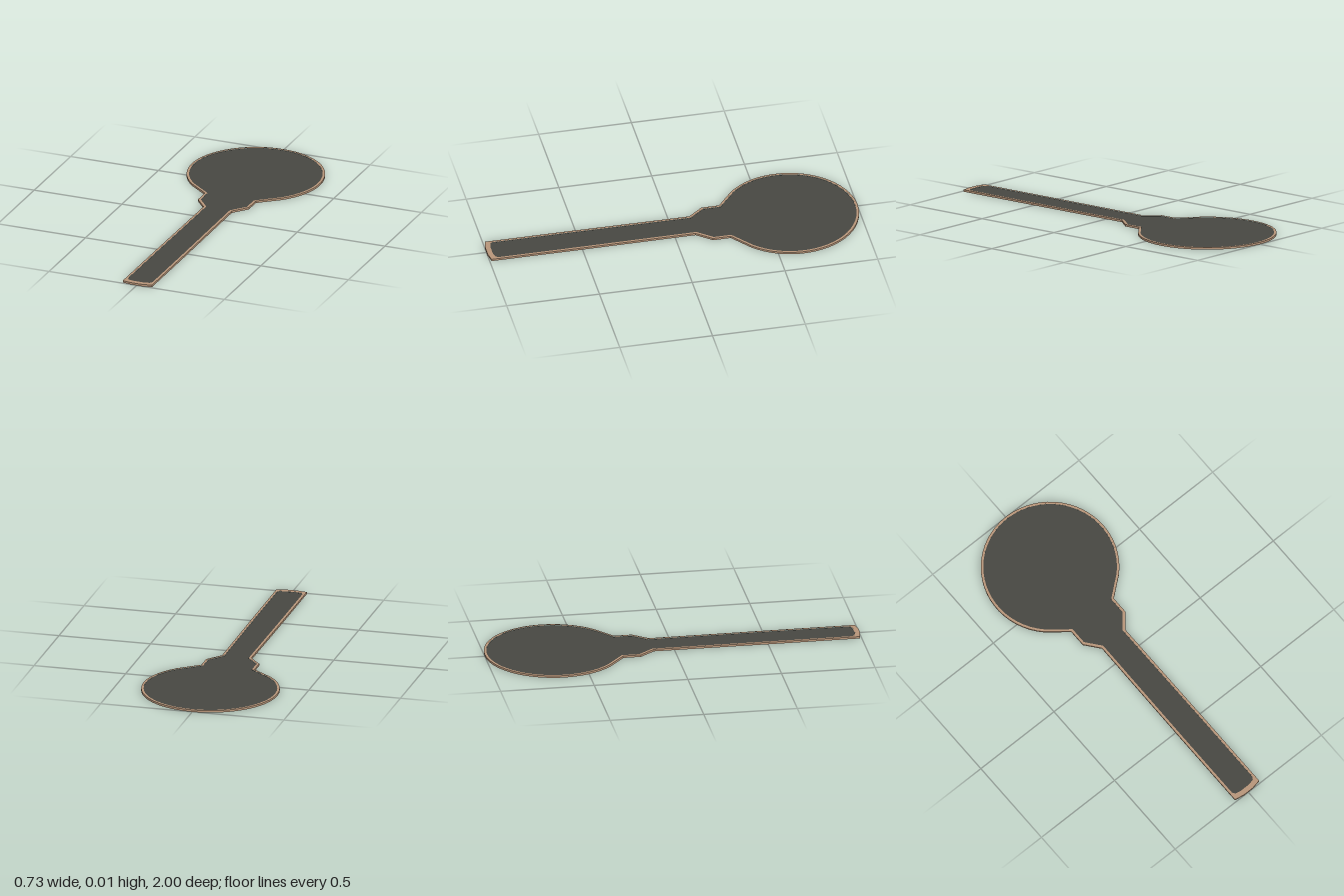
import * as THREE from 'three';

const THICK = 0.011;
const HEAD_Z = -0.635, HEAD_R = 0.365;

// Paddle outline in plan (shape y = -z), inset by d; the end is inset by e.
function outline(d, e) {
  const half = [];
  const r = HEAD_R - d, steps = 22;
  // right side, from the tip of the round head down to the shoulder
  const end = Math.PI - Math.asin(0.255 / HEAD_R);
  for (let i = 0; i <= steps; i++) {
    const a = (end * i) / steps;
    half.push([r * Math.sin(a), -HEAD_Z + r * Math.cos(a)]);
  }
  // neck block, then the long grip
  half.push([0.145 - d, 0.285 + d * 0.4]);
  half.push([0.145 - d, 0.19 + d * 0.5]);
  half.push([0.08 - d, 0.11 + d * 0.5]);
  half.push([0.083 - d, -0.55]);
  if (e > 0) half.push([0.083 - d, -0.99 + e + 0.012], [0.083 - d - 0.01, -0.993 + e]);
  else half.push([0.083, -0.99]);
  half.push([0.03, -1 + e]);
  const left = half.slice(1).reverse().map(([x, y]) => [-x, y]);
  return [...half, ...left].map(([x, y]) => new THREE.Vector2(x, y));
}

// Upright slab from a plan shape, lying between two heights
function slab(name, shape, y0, y1, material) {
  const geo = new THREE.ExtrudeGeometry(shape, { depth: y1 - y0, bevelEnabled: false });
  geo.rotateX(-Math.PI / 2);
  geo.translate(0, y0, 0);
  const mesh = new THREE.Mesh(geo, material);
  mesh.name = name;
  return mesh;
}

export function createModel() {
  const wood = new THREE.MeshStandardMaterial({ color: 0xb8967a });
  wood.name = 'tan wood';
  const dark = new THREE.MeshStandardMaterial({ color: 0x484842 });
  dark.name = 'dark grey';

  const group = new THREE.Group();
  group.name = 'paddle';

  // raised border around the whole paddle
  const inner = outline(0.013, 0.028);
  const rimShape = new THREE.Shape(outline(0, 0));
  rimShape.holes.push(new THREE.Path(inner));
  group.add(slab('rim', rimShape, 0, THICK, wood));

  // slightly recessed panel filling the border
  group.add(slab('panel', new THREE.Shape(inner), 0.001, THICK - 0.001, dark));
  return group;
}
